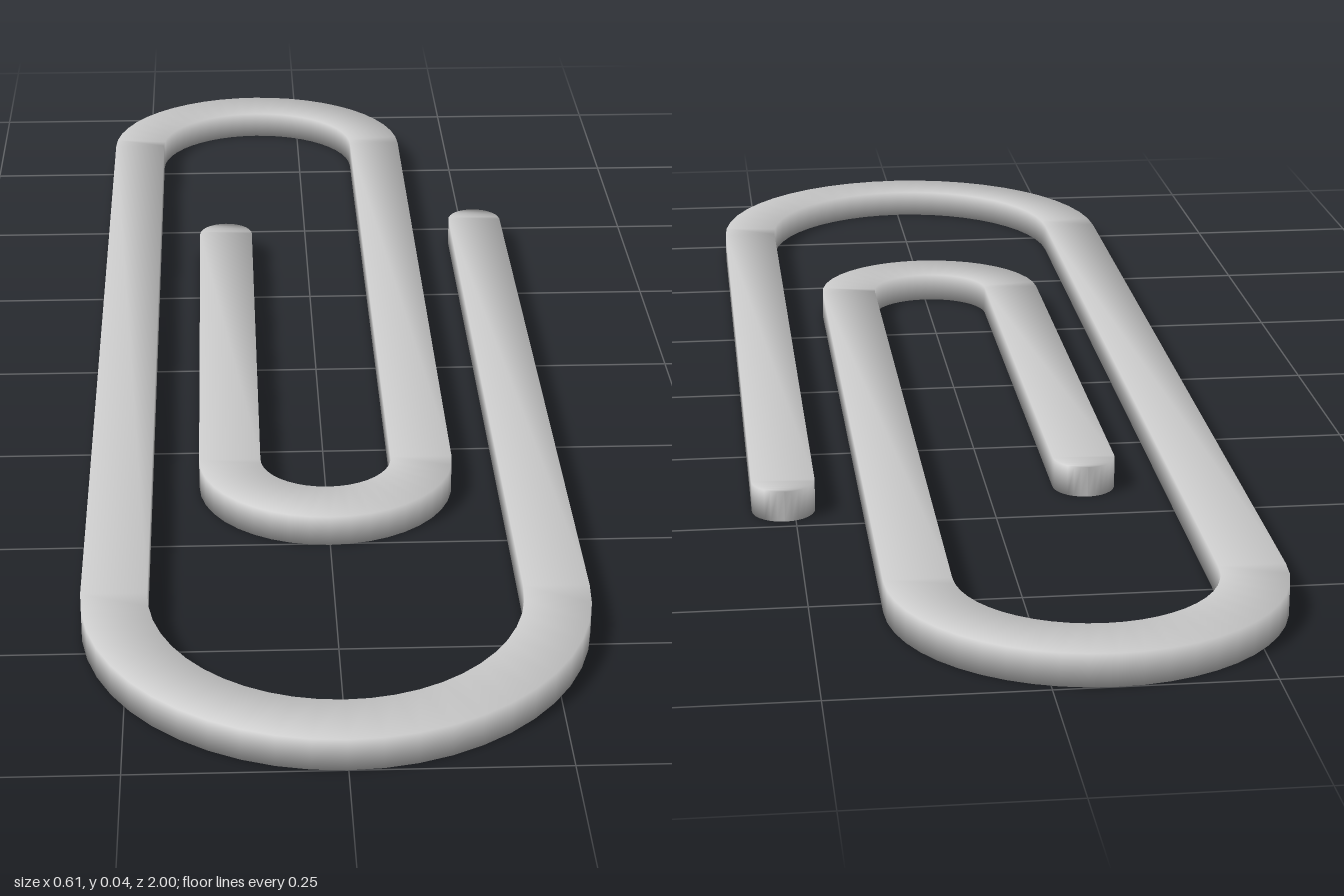
import * as THREE from 'three';

const HALF = 0.04;    // half the wire's width
const HEIGHT = 0.04;  // wire thickness

// Centreline of the wire in plan, as [x, z, halfWidth] stations
function wireStations() {
  const stations = [];
  const add = (x, z, w = HALF) => stations.push([x, z, w]);

  // Half-round tip of the wire; dir is the way it points along z
  const tip = (x, zTip, opening) => {
    const steps = 7;
    for (let i = 0; i <= steps; i++) {
      const a = (opening ? i : steps - i) / steps * Math.PI / 2;
      add(x, zTip + HALF * (1 - Math.cos(a)), Math.max(HALF * Math.sin(a), 0.0005));
    }
  };

  // Half-ellipse bend from x0 to x1, bulging from z by depth
  const bend = (x0, x1, z, depth, steps) => {
    for (let i = 0; i <= steps; i++) {
      const a = i / steps * Math.PI;
      add((x0 + x1) / 2 + (x0 - x1) / 2 * Math.cos(a), z + depth * Math.sin(a));
    }
  };

  tip(-0.125, -0.44, true);                  // inner free end
  bend(-0.125, 0.125, 0.345, 0.118, 20);     // small inner bend
  bend(0.125, -0.266, -0.775, -0.185, 24);   // back bend
  bend(-0.266, 0.264, 0.68, 0.28, 24);       // large front bend
  tip(0.264, -0.484, false);                 // outer free end
  return stations;
}

// Sweep a rectangular section along the stations with shared, smooth normals
function wireGeometry(stations) {
  const positions = [], index = [];
  const n = stations.length;
  stations.forEach(([x, z, w], i) => {
    const a = stations[Math.max(i - 1, 0)], b = stations[Math.min(i + 1, n - 1)];
    const dx = b[0] - a[0], dz = b[1] - a[1], len = Math.hypot(dx, dz);
    const sx = dz / len * w, sz = -dx / len * w;
    for (const [side, y] of [[1, 0], [1, HEIGHT], [-1, HEIGHT], [-1, 0]]) {
      positions.push(x + side * sx, y, z + side * sz);
    }
    if (i === n - 1) return;
    for (let k = 0; k < 4; k++) {
      const p = i * 4 + k, q = i * 4 + (k + 1) % 4;
      index.push(p, q, p + 4, q, q + 4, p + 4);
    }
  });
  // Close both tips
  const e = (n - 1) * 4;
  index.push(0, 2, 1, 0, 3, 2, e, e + 1, e + 2, e, e + 2, e + 3);

  const geometry = new THREE.BufferGeometry();
  geometry.setAttribute('position', new THREE.Float32BufferAttribute(positions, 3));
  geometry.setIndex(index);
  geometry.computeVertexNormals();
  return geometry;
}

export function createModel() {
  const group = new THREE.Group();
  group.name = 'paperClip';
  const material = new THREE.MeshStandardMaterial({ color: 0xcccccc });
  const wire = new THREE.Mesh(wireGeometry(wireStations()), material);
  wire.name = 'bentWire';
  group.add(wire);
  return group;
}
